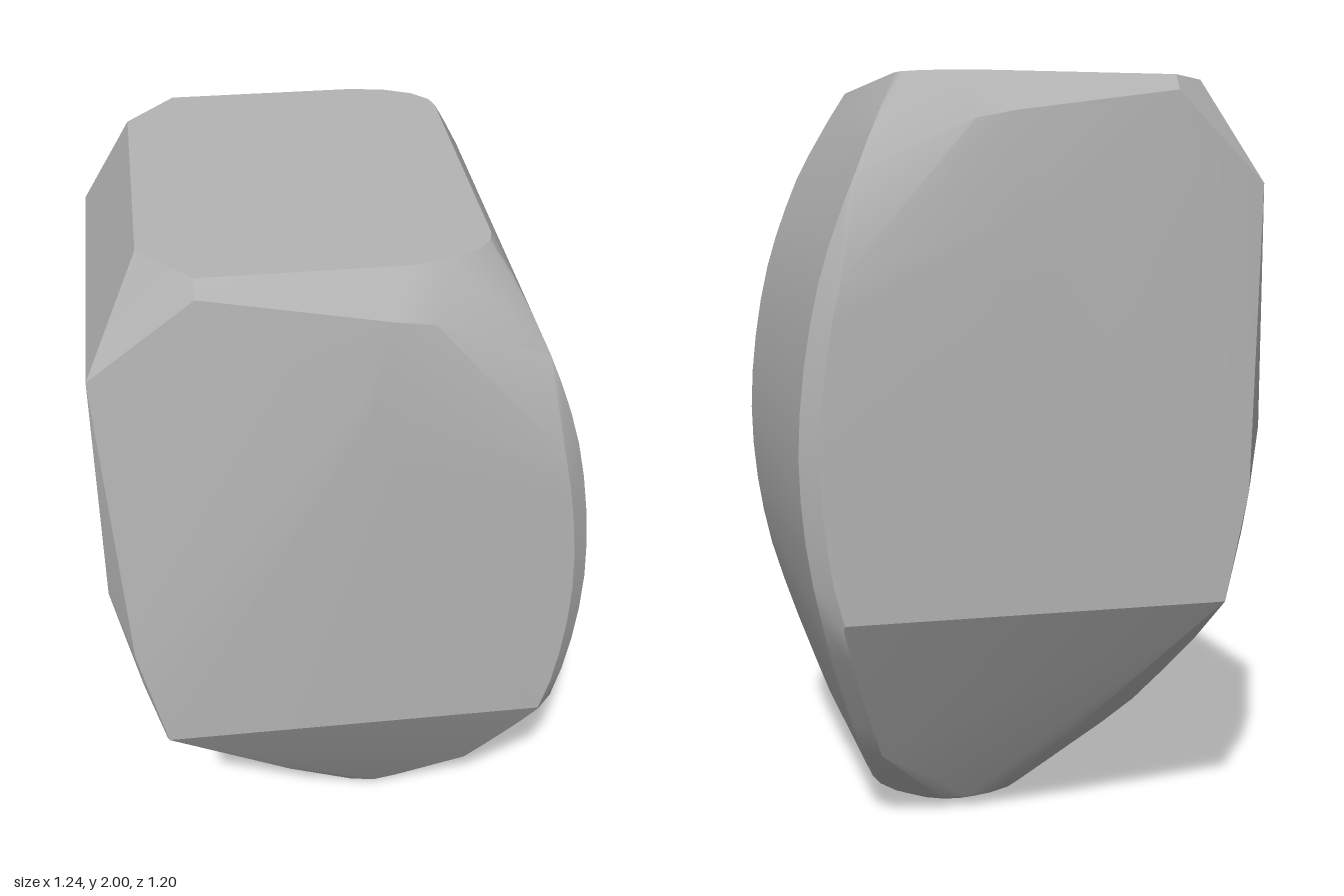
import * as THREE from 'three';
import { ConvexGeometry } from 'three/addons/geometries/ConvexGeometry.js';
import { toCreasedNormals } from 'three/addons/utils/BufferGeometryUtils.js';

export function createModel() {
  const group = new THREE.Group();
  const stoneGrey = new THREE.MeshStandardMaterial({ color: 0xb4b4b4 });
  const points = [];
  // add each corner on both sides of the symmetry plane z = 0
  const add = (...corners) => {
    for (const [x, y, z] of corners) {
      points.push(new THREE.Vector3(x, y, z), new THREE.Vector3(x, y, -z));
    }
  };
  // flat top with rounded right corners and clipped left corners
  add([-0.485, 2, 0.36], [-0.36, 2, 0.505], [0.13, 2, 0.505],
    [0.22, 2, 0.488], [0.29, 2, 0.455], [0.33, 2, 0.41], [0.34, 2, 0.37]);

  // bulging right face and the narrow chamfer beside it
  const bulge = new THREE.SplineCurve([[0.34, 2], [0.43, 1.83], [0.5, 1.67], [0.56, 1.49], [0.6, 1.28],
    [0.617, 1.06], [0.603, 0.84], [0.563, 0.63], [0.5, 0.42], [0.425, 0.21]]
    .map(([x, y]) => new THREE.Vector2(x, y)));
  for (let i = 1; i <= 18; i++) {
    const p = bulge.getPoint(i / 18);
    const high = Math.max(0, p.y - 1.76);
    const low = Math.max(0, 0.64 - p.y);
    add([p.x, p.y, 0.525 - high * 0.55 - low * 0.57]);
    if (p.y < 1.56) add([p.x - 0.045, p.y, 0.575 - low * 0.567]);
  }
  add([0.515, 0.64, 0.575]);

  // side bulge: ridge peak, shoulder corners and lower break line
  add([0, 1.68, 0.6], [0.04, 1.66, 0.6], [0.08, 1.9, 0.58], [0.18, 1.88, 0.572],
    [-0.36, 1.96, 0.532], [-0.495, 0.64, 0.575]);

  // left face, its chamfer and the curved lower left
  add([-0.62, 1.73, 0.48], [-0.62, 1.09, 0.48], [-0.565, 0.93, 0.555], [-0.55, 0.82, 0.545],
    [-0.5, 0.635, 0.56], [-0.455, 0.51, 0.46], [-0.4, 0.4, 0.37], [-0.345, 0.3, 0.29],
    [-0.28, 0.21, 0.21], [-0.33, 0.45, 0.466], [-0.15, 0.24, 0.345]);

  // small rounded foot
  for (let i = 0; i <= 10; i++) {
    const a = (i / 10) * Math.PI;
    add([0.122 + 0.153 * Math.cos(a), 0, 0.15 * Math.sin(a)],
      [0.122 + 0.225 * Math.cos(a), 0.035, 0.23 * Math.sin(a)]);
  }

  const body = new THREE.Mesh(toCreasedNormals(new ConvexGeometry(points), 0.38), stoneGrey);
  body.name = 'stoneBody';
  group.add(body);
  return group;
}
